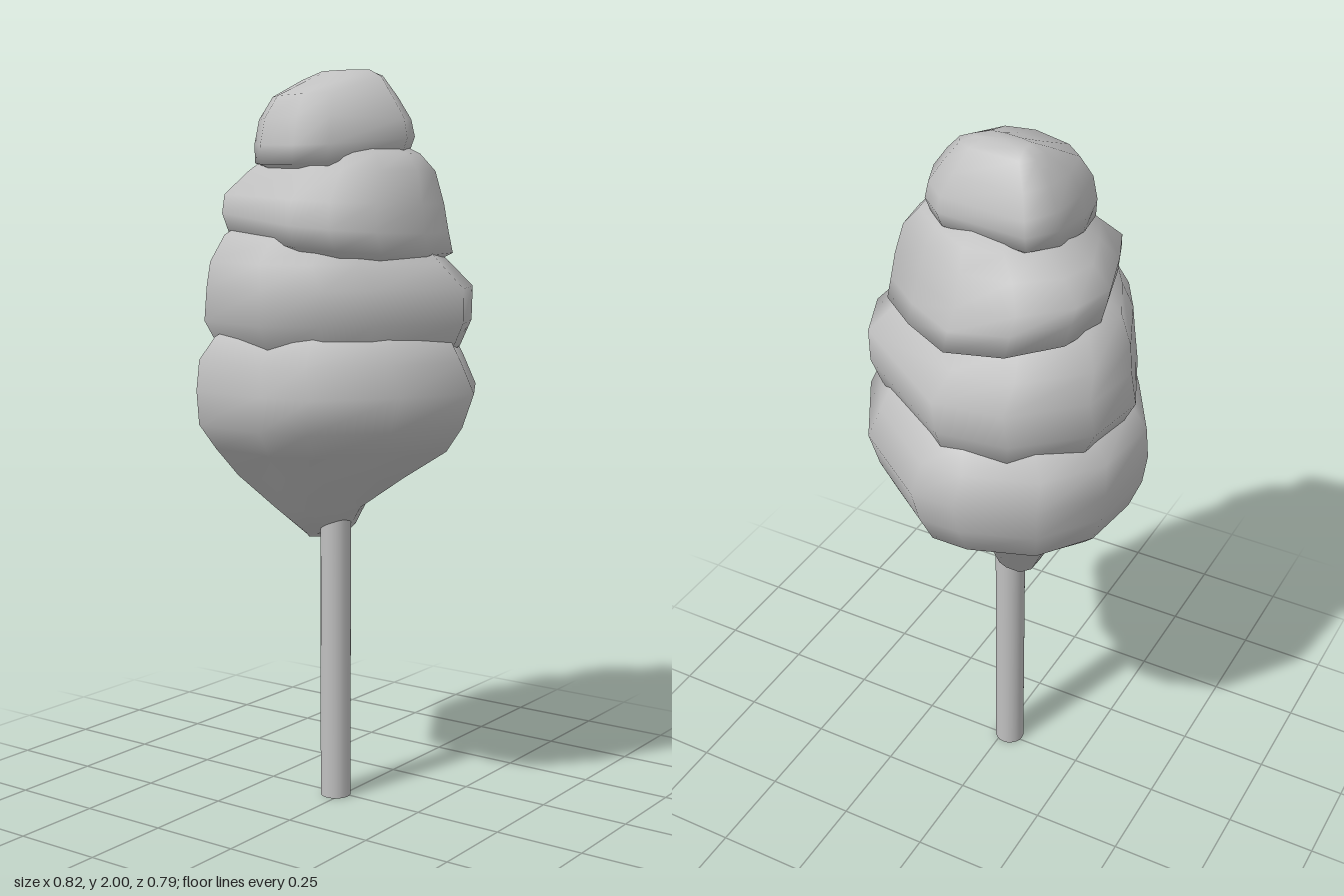
import * as THREE from 'three';

// Lofts a closed smooth lump: one outline (x, z pairs, seen from above) is fitted
// to every ring [y, xMin, xMax, zMin, zMax, slopeX, slopeZ].
function lump(name, outline, rings, material) {
  const xs = outline.map((p) => p[0]);
  const zs = outline.map((p) => p[1]);
  const [x0, x1, z0, z1] = [Math.min(...xs), Math.max(...xs), Math.min(...zs), Math.max(...zs)];
  const n = outline.length;
  const positions = [];
  const index = [];
  for (const [y, a, b, c, d, sx = 0, sz = 0] of rings) {
    const mx = (a + b) / 2;
    const mz = (c + d) / 2;
    for (const [px, pz] of outline) {
      const x = a + ((px - x0) / (x1 - x0)) * (b - a);
      const z = c + ((pz - z0) / (z1 - z0)) * (d - c);
      positions.push(x, y + sx * (x - mx) + sz * (z - mz), z);
    }
  }
  for (let r = 0; r < rings.length - 1; r++) {
    for (let i = 0; i < n; i++) {
      const j = (i + 1) % n;
      const lo = r * n;
      const hi = lo + n;
      index.push(lo + i, lo + j, hi + j, lo + i, hi + j, hi + i);
    }
  }
  // End caps
  const last = (rings.length - 1) * n;
  const centre = rings.length * n;
  for (const ring of [rings[0], rings[rings.length - 1]]) {
    positions.push((ring[1] + ring[2]) / 2, ring[0], (ring[3] + ring[4]) / 2);
  }
  for (let i = 0; i < n; i++) {
    const j = (i + 1) % n;
    index.push(centre, j, i, centre + 1, last + i, last + j);
  }
  const geometry = new THREE.BufferGeometry();
  geometry.setAttribute('position', new THREE.Float32BufferAttribute(positions, 3));
  geometry.setIndex(index);
  geometry.computeVertexNormals();
  const mesh = new THREE.Mesh(geometry, material);
  mesh.name = name;
  return mesh;
}

export function createModel() {
  const group = new THREE.Group();
  group.name = 'cottonCandy';
  const grey = new THREE.MeshStandardMaterial({ color: 0xc0c0c0 });
  grey.name = 'pale grey';

  // Paper stick
  const stick = new THREE.Mesh(new THREE.CylinderGeometry(0.042, 0.042, 0.95, 20), grey);
  stick.name = 'stick';
  stick.position.set(-0.02, 0.475, 0.01);
  group.add(stick);

  // Large lowest wrap, tapering to the stick
  group.add(lump('bottomWrap', [
    [0.41, -0.005], [0.28, -0.23], [0.05, -0.4], [-0.07, -0.4], [-0.27, -0.33], [-0.385, -0.17],
    [-0.41, 0.035], [-0.3, 0.23], [-0.22, 0.36], [0.02, 0.395], [0.16, 0.37], [0.31, 0.19],
  ], [
    [0.755, -0.115, 0.03, -0.08, 0.07, 0.45, 0.2],
    [0.83, -0.17, 0.07, -0.13, 0.17],
    [0.92, -0.31, 0.2, -0.22, 0.24],
    [1.0, -0.37, 0.32, -0.35, 0.32],
    [1.07, -0.395, 0.38, -0.375, 0.385],
    [1.16, -0.41, 0.41, -0.395, 0.39],
    [1.24, -0.4, 0.375, -0.365, 0.375],
    [1.3, -0.35, 0.345, -0.32, 0.345],
    [1.36, -0.25, 0.25, -0.22, 0.25],
  ], grey));

  // Second wrap
  group.add(lump('lowerMiddleWrap', [
    [0.385, 0], [0.32, -0.15], [0.0, -0.365], [-0.19, -0.34], [-0.355, -0.19], [-0.385, -0.01],
    [-0.3, 0.19], [-0.23, 0.31], [0.02, 0.395], [0.16, 0.32], [0.25, 0.22],
  ], [
    [1.2, -0.28, 0.28, -0.25, 0.28],
    [1.27, -0.35, 0.345, -0.325, 0.35],
    [1.34, -0.385, 0.38, -0.355, 0.39],
    [1.43, -0.37, 0.38, -0.36, 0.395],
    [1.495, -0.355, 0.32, -0.3, 0.37],
    [1.55, -0.325, 0.29, -0.25, 0.32, -0.08],
    [1.61, -0.24, 0.22, -0.18, 0.23, -0.08],
  ], grey));

  // Third wrap, tilted so its lip is higher on the right
  group.add(lump('upperMiddleWrap', [
    [0.3, 0.05], [0.28, -0.1], [0.15, -0.21], [-0.01, -0.31], [-0.17, -0.285], [-0.285, -0.18],
    [-0.32, -0.05], [-0.27, 0.12], [-0.22, 0.25], [0.07, 0.34], [0.17, 0.3], [0.25, 0.2],
  ], [
    [1.51, -0.24, 0.25, -0.22, 0.24, -0.1],
    [1.545, -0.3, 0.3, -0.305, 0.32, -0.1],
    [1.6, -0.31, 0.295, -0.295, 0.34, -0.1],
    [1.66, -0.32, 0.28, -0.28, 0.31, -0.05],
    [1.73, -0.27, 0.255, -0.235, 0.24],
    [1.775, -0.2, 0.215, -0.19, 0.2],
    [1.82, -0.12, 0.12, -0.11, 0.12],
  ], grey));

  // Peak, leaning back
  group.add(lump('topWrap', [
    [0.205, 0], [0.17, -0.09], [0.1, -0.155], [-0.15, -0.175], [-0.2, -0.09], [-0.21, 0.03],
    [-0.19, 0.14], [-0.12, 0.205], [0.02, 0.25], [0.12, 0.23],
  ], [
    [1.725, -0.14, 0.14, -0.1, 0.17, 0, -0.1],
    [1.765, -0.205, 0.195, -0.155, 0.25, 0.02, -0.1],
    [1.81, -0.21, 0.205, -0.17, 0.25, 0, -0.08],
    [1.865, -0.2, 0.195, -0.16, 0.235],
    [1.925, -0.175, 0.15, -0.14, 0.185],
    [1.975, -0.13, 0.1, -0.1, 0.07, 0, -0.1],
    [1.995, -0.09, 0.06, -0.06, 0.0],
  ], grey));

  return group;
}
